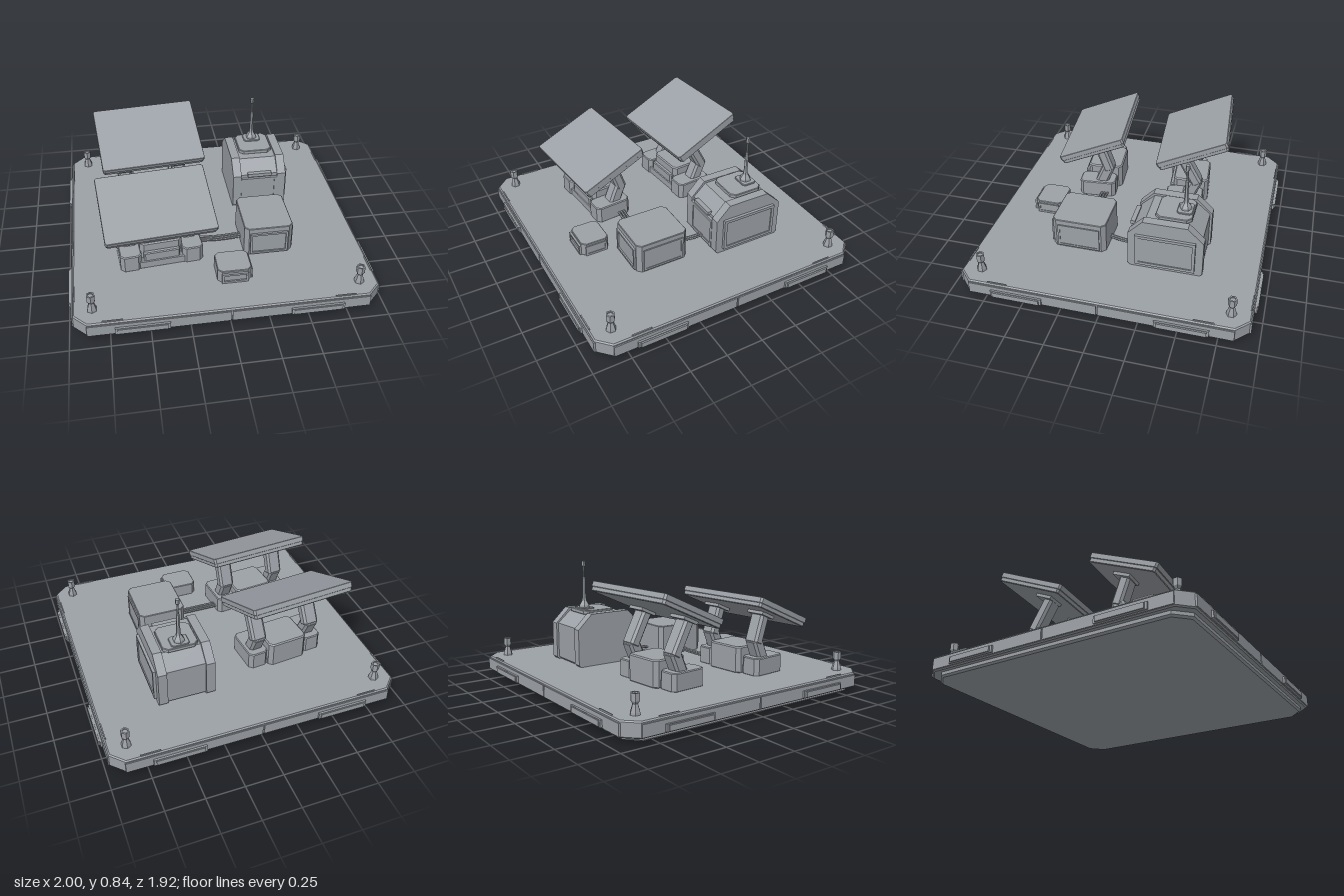
import * as THREE from 'three';

const greyMat = new THREE.MeshStandardMaterial({ color: 0x9ca1a7 });
greyMat.name = 'painted grey';

function add(parent, name, geo, x = 0, y = 0, z = 0) {
  const flat = geo.index ? geo.toNonIndexed() : geo;
  flat.computeVertexNormals();
  const m = new THREE.Mesh(flat, greyMat);
  m.name = name;
  m.position.set(x, y, z);
  parent.add(m);
  return m;
}

const box = (w, h, d) => new THREE.BoxGeometry(w, h, d);

// Block with cut vertical corners and bevelled rims, standing on y = 0
function block(w, h, d, cut, bevel) {
  const a = w / 2, b = d / 2;
  const s = new THREE.Shape([
    [a - cut, -b], [a, -b + cut], [a, b - cut], [a - cut, b],
    [-a + cut, b], [-a, b - cut], [-a, -b + cut], [-a + cut, -b],
  ].map(([x, y]) => new THREE.Vector2(x, y)));
  const g = new THREE.ExtrudeGeometry(s, {
    depth: h - 2 * bevel, bevelEnabled: true, bevelSegments: 1,
    bevelSize: bevel, bevelThickness: bevel, bevelOffset: -bevel,
  });
  return g.translate(0, 0, bevel).rotateX(-Math.PI / 2);
}

// Side profile of [z, y] points extruded along x, centred
function profile(points, width) {
  const s = new THREE.Shape(points.map(([z, y]) => new THREE.Vector2(z, y)));
  const g = new THREE.ExtrudeGeometry(s, { depth: width, bevelEnabled: false });
  return g.translate(0, 0, -width / 2).rotateY(-Math.PI / 2);
}

const lathe = (pts, sides) =>
  new THREE.LatheGeometry(pts.map(([r, y]) => new THREE.Vector2(r, y)), sides);

// Box beam between two [y, z] points at a given x
function beam(parent, name, x, [y0, z0], [y1, z1], w, d) {
  const m = add(parent, name, block(w, Math.hypot(y1 - y0, z1 - z0), d, 0.015, 0.004), x, y0, z0);
  m.rotation.x = Math.atan2(z1 - z0, y1 - y0);
}

// Raised rectangular frame around an opening, facing +z
function frame(w, h, rim, depth) {
  const rect = (S, a, b) => new S([[-a, -b], [a, -b], [a, b], [-a, b]].map(([x, y]) => new THREE.Vector2(x, y)));
  const s = rect(THREE.Shape, w / 2, h / 2);
  s.holes.push(rect(THREE.Path, w / 2 - rim, h / 2 - rim));
  return new THREE.ExtrudeGeometry(s, { depth, bevelEnabled: false });
}

function buildPlatform(root) {
  const g = new THREE.Group();
  g.name = 'platform';
  root.add(g);
  add(g, 'underside', block(1.87, 0.05, 1.8, 0.09, 0.012));
  add(g, 'deck', block(1.94, 0.1, 1.87, 0.085, 0.008), 0, 0.033, 0);
  for (const s of [-1, 1]) {
    for (const t of [-1, 1]) {
      // Edge trim with a gap in the middle, stepped bumpers and small deck lips
      add(g, 'edgeTrim', box(0.885, 0.075, 0.012), t * 0.4475, 0.08, s * 0.936);
      add(g, 'edgeTrim', box(0.012, 0.075, 0.845), s * 0.972, 0.08, t * 0.4275);
      add(g, 'bumperBase', box(0.34, 0.045, 0.02), t * 0.55, 0.07, s * 0.945);
      add(g, 'bumperPad', box(0.31, 0.035, 0.02), t * 0.55, 0.07, s * 0.951);
      add(g, 'bumperBase', box(0.02, 0.045, 0.34), s * 0.98, 0.07, t * 0.53);
      add(g, 'bumperPad', box(0.02, 0.035, 0.31), s * 0.99, 0.07, t * 0.53);
      add(g, 'deckLip', box(0.13, 0.01, 0.008), t * 0.73, 0.136, s * 0.924);
      add(g, 'deckLip', box(0.008, 0.01, 0.13), s * 0.959, 0.136, t * 0.66);
      // Hexagonal mooring post
      add(g, 'cornerPost', lathe([[0, 0.13], [0.033, 0.13], [0.031, 0.148], [0.017, 0.195],
        [0.028, 0.212], [0.028, 0.258], [0.018, 0.258], [0.018, 0.25], [0, 0.25]], 6),
        s * 0.85, 0, t * 0.81);
    }
  }
}

// Tilted panel on two bent arms over a low pedestal
function buildPanelUnit(root, o) {
  const g = new THREE.Group();
  g.name = o.name;
  g.position.set(o.x, 0, o.z);
  g.rotation.y = 0.09;
  root.add(g);
  add(g, 'footing', block(0.54, 0.06, 0.24, 0.03, 0.006), 0, 0.13, 0);
  add(g, 'centreBox', block(0.28, 0.18, 0.25, 0.025, 0.008), 0, 0.13, -0.035);
  add(g, 'centreCover', block(0.24, 0.1, 0.04, 0.01, 0.006), 0, 0.15, 0.095);
  for (const s of [-1, 1]) {
    add(g, 'pedestal', block(0.14, 0.12, 0.26, 0.025, 0.006), s * 0.205, 0.13, 0);
    beam(g, 'lowerArm', s * 0.2, [0.22, -0.02], [0.37, -0.085], 0.095, 0.085);
    beam(g, 'upperArm', s * 0.2, [0.345, -0.085], [o.armY, o.armZ], 0.105, 0.075);
  }
  const p = new THREE.Group();
  p.name = 'tiltedPanel';
  p.position.set(-0.012, o.py, o.pz);
  p.rotation.x = o.tilt;
  g.add(p);
  add(p, 'panelBack', block(0.708, 0.03, o.len - 0.012, 0.012, 0.004), 0, -0.033, 0);
  add(p, 'panelFace', block(0.716, 0.036, o.len, 0.012, 0.002), 0, -0.006, 0);
  for (const s of [-1, 1])
    add(p, 'panelBracket', box(0.13, 0.025, 0.12), s * 0.2, -0.04, o.armZ - o.pz);
}

function buildShelter(root) {
  const g = new THREE.Group();
  g.name = 'shelter';
  g.position.set(0.38, 0, -0.335);
  root.add(g);
  const outline = (k) => [[-0.23 + k, 0.135], [0.23 - k, 0.135], [0.245 - k, 0.15], [0.245 - k, 0.395],
    [0.15 - k / 2, 0.495 - k], [-0.14 + k / 2, 0.495 - k], [-0.245 + k, 0.395], [-0.245 + k, 0.15]];
  add(g, 'shelterBody', profile(outline(0.015), 0.3));
  for (const s of [-1, 1]) add(g, 'endFrame', profile(outline(0), 0.06), s * 0.16, 0, 0);
  // Side hatch on the left flank only
  add(g, 'sideHatch', box(0.014, 0.2, 0.36), 0.195, 0.28, 0);
  add(g, 'sideHatchFrame', frame(0.39, 0.23, 0.02, 0.02), 0.189, 0.28, 0).rotation.y = Math.PI / 2;
  add(g, 'frontDoor', box(0.24, 0.2, 0.02), 0, 0.26, 0.232);
  add(g, 'frontDoorFrame', frame(0.26, 0.22, 0.02, 0.018), 0, 0.26, 0.23);
  add(g, 'frontHandle', box(0.17, 0.025, 0.03), 0, 0.4, 0.237);
  add(g, 'roofPlate', block(0.235, 0.028, 0.235, 0.03, 0.004), 0, 0.478, -0.03);
  add(g, 'antennaMount', block(0.12, 0.022, 0.1, 0.015, 0.003), 0, 0.494, -0.09);
  add(g, 'antenna', lathe([[0, 0.51], [0.04, 0.51], [0.038, 0.53], [0.018, 0.56], [0.013, 0.6],
    [0.012, 0.72], [0.007, 0.725], [0.007, 0.8], [0.014, 0.805], [0.014, 0.838], [0, 0.838]], 6),
    0, 0, -0.09);
}

// Equipment box with framed access panels on the front and left
function buildCase(root, name, x, z, w, h, d) {
  const g = new THREE.Group();
  g.name = name;
  g.position.set(x, 0.13, z);
  root.add(g);
  add(g, 'caseBody', block(w, h, d, 0.028, 0.004));
  const fw = w * 0.78, fd = d * 0.78, fh = h * 0.76;
  add(g, 'frontPanel', box(fw - 0.01, fh - 0.01, 0.008), 0, h * 0.45, d / 2);
  add(g, 'frontPanelFrame', frame(fw, fh, 0.014, 0.014), 0, h * 0.45, d / 2);
  add(g, 'sidePanel', box(0.008, fh - 0.01, fd - 0.01), w / 2, h * 0.45, 0);
  add(g, 'sidePanelFrame', frame(fd, fh, 0.014, 0.008), w / 2, h * 0.45, 0).rotation.y = Math.PI / 2;
}

function cable(root, points) {
  const c = new THREE.CatmullRomCurve3(points.map((p) => new THREE.Vector3(...p)));
  add(root, 'cable', new THREE.TubeGeometry(c, 10, 0.008, 6));
}

export function createModel() {
  const root = new THREE.Group();
  root.name = 'panelStation';
  buildPlatform(root);
  buildPanelUnit(root, { name: 'frontPanelUnit', x: -0.39, z: 0.35, py: 0.5525, pz: 0.015, len: 0.49, tilt: 0.4, armY: 0.535, armZ: -0.02 });
  buildPanelUnit(root, { name: 'rearPanelUnit', x: -0.37, z: -0.3, py: 0.63, pz: -0.05, len: 0.515, tilt: 0.42, armY: 0.56, armZ: 0.03 });
  buildShelter(root);
  buildCase(root, 'largeCase', 0.335, 0.266, 0.325, 0.215, 0.365);
  buildCase(root, 'smallCase', 0.063, 0.597, 0.22, 0.095, 0.195);

  // Cables between the cases
  for (let i = 0; i < 3; i++) {
    const z = 0.25 + i * 0.02;
    cable(root, [[-0.14, 0.165, z], [0.02, 0.16, z + 0.006], [0.19, 0.165, z]]);
  }
  for (let i = 0; i < 2; i++) {
    const x = 0.35 + i * 0.02;
    cable(root, [[x + 0.02, 0.17, -0.12], [x + 0.015, 0.165, -0.02], [x - 0.01, 0.165, 0.1]]);
  }
  return root;
}
